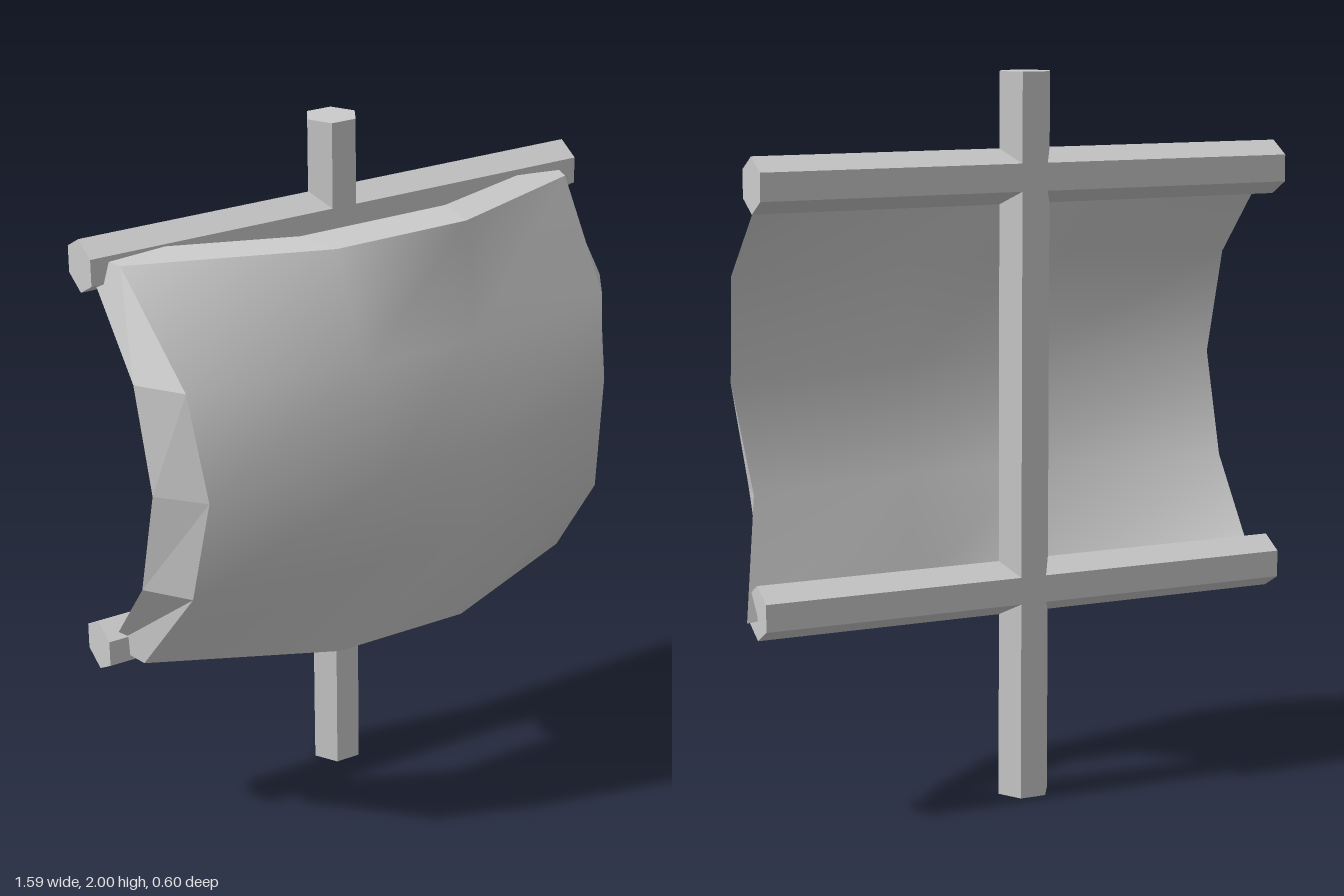
import * as THREE from 'three';
import { mergeGeometries } from 'three/addons/utils/BufferGeometryUtils.js';

const SPAR_Z = -0.235;

// Six-sided spar, corners pointing along local x
function spar(name, length, material) {
  const geo = new THREE.CylinderGeometry(0.075, 0.075, length, 6, 1, false, Math.PI / 6);
  const mesh = new THREE.Mesh(geo, material);
  mesh.name = name;
  return mesh;
}

// One sail row: left edge, two middle columns sharing y and z, right edge
const row = (left, xl, xr, y, z, right) => [left, [xl, y, z], [xr, y, z], right];

// Skin over a grid of points (rows upward, columns rightward as seen from outside)
function sheet(grid, smooth) {
  const cols = grid[0].length, index = [];
  for (let r = 0; r < grid.length - 1; r++) {
    for (let c = 0; c < cols - 1; c++) {
      const a = r * cols + c, d = a + cols;
      index.push(a, a + 1, d + 1, a, d + 1, d);
    }
  }
  let geo = new THREE.BufferGeometry();
  geo.setAttribute('position', new THREE.Float32BufferAttribute(grid.flat(2), 3));
  geo.setIndex(index);
  if (smooth) geo.computeVertexNormals();
  geo = geo.toNonIndexed();
  if (!smooth) geo.computeVertexNormals();
  return geo;
}

function sailGeometry() {
  // Rows run from the foot to the head
  const front = [
    row([-0.72, 0.567, -0.11], -0.22, 0.19, 0.562, 0.115, [0.685, 0.563, -0.1]),
    row([-0.685, 0.86, 0.125], -0.19, 0.15, 0.86, 0.215, [0.65, 0.86, 0.125]),
    row([-0.656, 1.16, 0.18], -0.17, 0.13, 1.16, 0.3, [0.62, 1.16, 0.18]),
    row([-0.685, 1.46, 0.125], -0.19, 0.15, 1.46, 0.215, [0.65, 1.46, 0.125]),
    row([-0.73, 1.74, -0.13], -0.22, 0.19, 1.762, 0.115, [0.69, 1.73, -0.12]),
  ];
  const back = [
    row([-0.75, 0.57, -0.25], -0.25, 0.21, 0.562, -0.02, [0.795, 0.57, -0.25]),
    row([-0.772, 0.86, 0], -0.22, 0.18, 0.86, 0.095, [0.68, 0.86, 0]),
    row([-0.76, 1.16, 0.06], -0.2, 0.16, 1.16, 0.18, [0.72, 1.16, 0.06]),
    row([-0.772, 1.46, 0], -0.22, 0.18, 1.46, 0.095, [0.735, 1.46, 0]),
    row([-0.77, 1.745, -0.26], -0.25, 0.21, 1.762, -0.02, [0.73, 1.73, -0.245]),
  ];
  const top = front.length - 1, end = front[0].length - 1;

  return mergeGeometries([
    sheet(front, true),
    sheet(back.map(r => [...r].reverse()), true),
    // Side, head and foot edges
    sheet(front.map((r, i) => [r[end], back[i][end]]), false),
    sheet(front.map((r, i) => [back[i][0], r[0]]), false),
    sheet([front[top], back[top]], false),
    sheet([back[0], front[0]], false),
  ]);
}

export function createModel() {
  const model = new THREE.Group();
  model.name = 'mastWithSail';
  const wood = new THREE.MeshStandardMaterial({ color: 0xcccccc, flatShading: true });
  const cloth = new THREE.MeshStandardMaterial({ color: 0xcccccc });

  // Mast
  const mast = spar('mast', 2, wood);
  mast.position.set(-0.02, 1, SPAR_Z);
  model.add(mast);

  // Yards
  for (const [name, y] of [['upperYard', 1.72], ['lowerYard', 0.59]]) {
    const yard = spar(name, 1.555, wood);
    yard.rotation.z = Math.PI / 2;
    yard.position.set(-0.018, y, SPAR_Z);
    model.add(yard);
  }

  // Billowing sail
  const sail = new THREE.Mesh(sailGeometry(), cloth);
  sail.name = 'sail';
  model.add(sail);

  return model;
}
